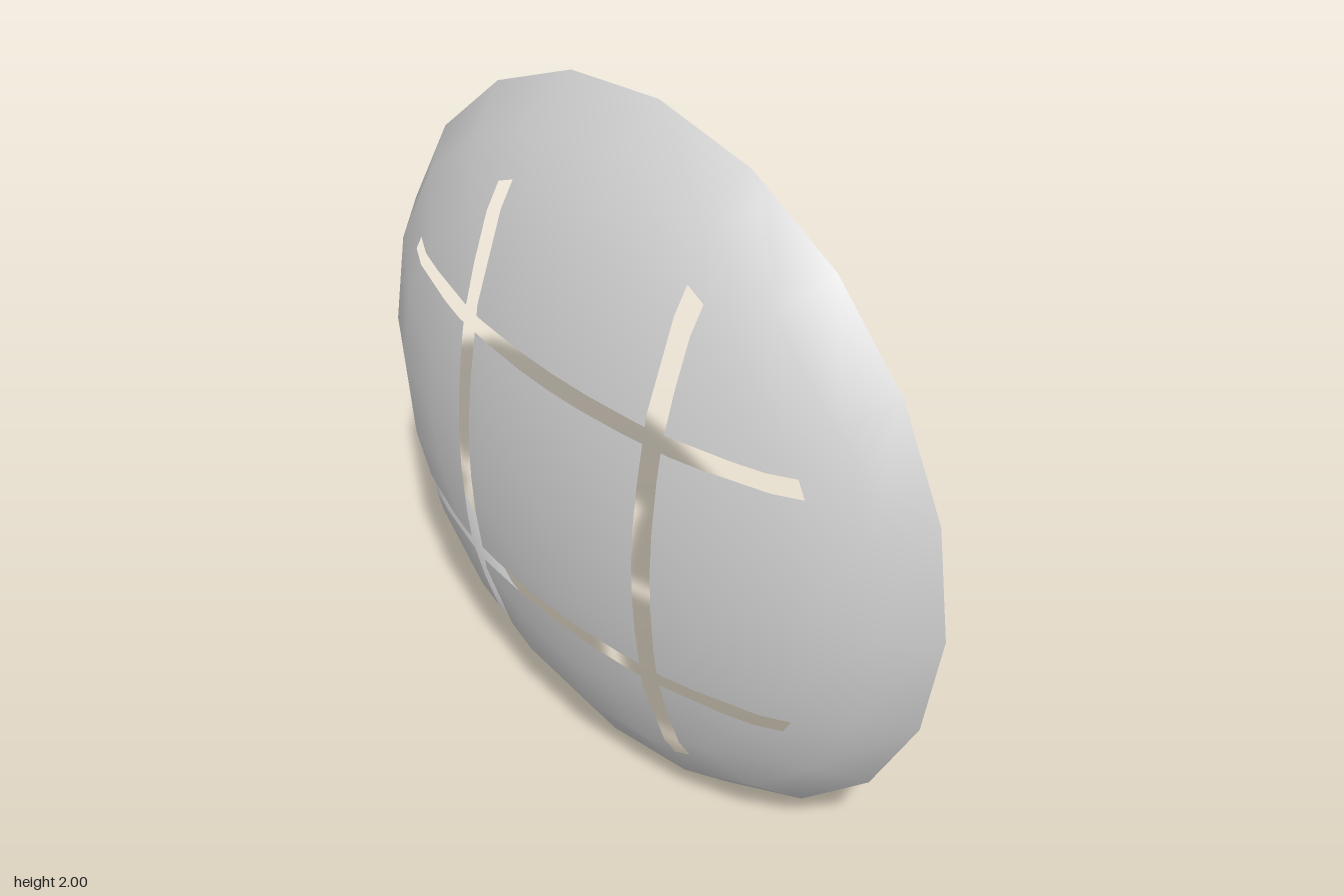
import * as THREE from 'three';

const RIM_ANGLE = THREE.MathUtils.degToRad(75);
const A = 1 / Math.sin(RIM_ANGLE);                    // radius across the face
const C = 0.377 / (1 - Math.cos(RIM_ANGLE));          // squashed radius in depth
const FRONT_Z = 0.1885;
const SLOT_X = [0.307, 0.361];                        // upright slots, |x|
const SLOT_Y = [0.34, 0.386];                         // level slots, |y| from centre

// Cut a convex polygon by a plane (axis = value) into the pieces on each side
function split(poly, axis, value) {
  const low = [], high = [];
  poly.forEach((a, i) => {
    const b = poly[(i + 1) % poly.length];
    const da = a.p[axis] - value, db = b.p[axis] - value;
    if (da <= 0) low.push(a);
    if (da >= 0) high.push(a);
    if (da * db < 0) {
      const t = da / (da - db);
      const cut = { p: a.p.clone().lerp(b.p, t), n: a.n.clone().lerp(b.n, t).normalize() };
      low.push(cut);
      high.push(cut);
    }
  });
  return [low, high].filter((q) => q.length > 2);
}

function inSlot(poly) {
  const c = new THREE.Vector3();
  poly.forEach((v) => c.addScaledVector(v.p, 1 / poly.length));
  const within = (v, [lo, hi]) => Math.abs(v) > lo && Math.abs(v) < hi;
  return c.z > 0 && (within(c.x, SLOT_X) || within(c.y, SLOT_Y));
}

// Remove the crossing slots from the part of the shell in front of z = 0
function cutSlots(source) {
  const geo = source.toNonIndexed();
  const { position, normal } = geo.attributes;
  const planes = [['z', 0]];
  for (const s of [-1, 1]) {
    SLOT_X.forEach((v) => planes.push(['x', s * v]));
    SLOT_Y.forEach((v) => planes.push(['y', s * v]));
  }
  const pos = [], nor = [];
  for (let i = 0; i < position.count; i += 3) {
    let pieces = [[0, 1, 2].map((k) => ({
      p: new THREE.Vector3().fromBufferAttribute(position, i + k),
      n: new THREE.Vector3().fromBufferAttribute(normal, i + k),
    }))];
    for (const [axis, value] of planes) pieces = pieces.flatMap((q) => split(q, axis, value));
    for (const q of pieces) {
      if (inSlot(q)) continue;
      for (let k = 1; k < q.length - 1; k++) {
        for (const v of [q[0], q[k], q[k + 1]]) {
          pos.push(...v.p.toArray());
          nor.push(...v.n.toArray());
        }
      }
    }
  }
  const out = new THREE.BufferGeometry();
  out.setAttribute('position', new THREE.Float32BufferAttribute(pos, 3));
  out.setAttribute('normal', new THREE.Float32BufferAttribute(nor, 3));
  return out;
}

export function createModel() {
  const group = new THREE.Group();
  group.name = 'slottedDome';

  // Shallow cap of a squashed sphere, its pole facing the front
  const cap = new THREE.SphereGeometry(1, 20, 5, 0, Math.PI * 2, 0, RIM_ANGLE);
  cap.rotateX(Math.PI / 2);
  cap.scale(A, A, C);
  cap.translate(0, 0, FRONT_Z - C);

  const shell = new THREE.Mesh(
    cutSlots(cap),
    new THREE.MeshStandardMaterial({ color: 0xcccccc, side: THREE.DoubleSide })
  );
  shell.name = 'domeShell';
  shell.position.y = 1;
  group.add(shell);
  return group;
}
